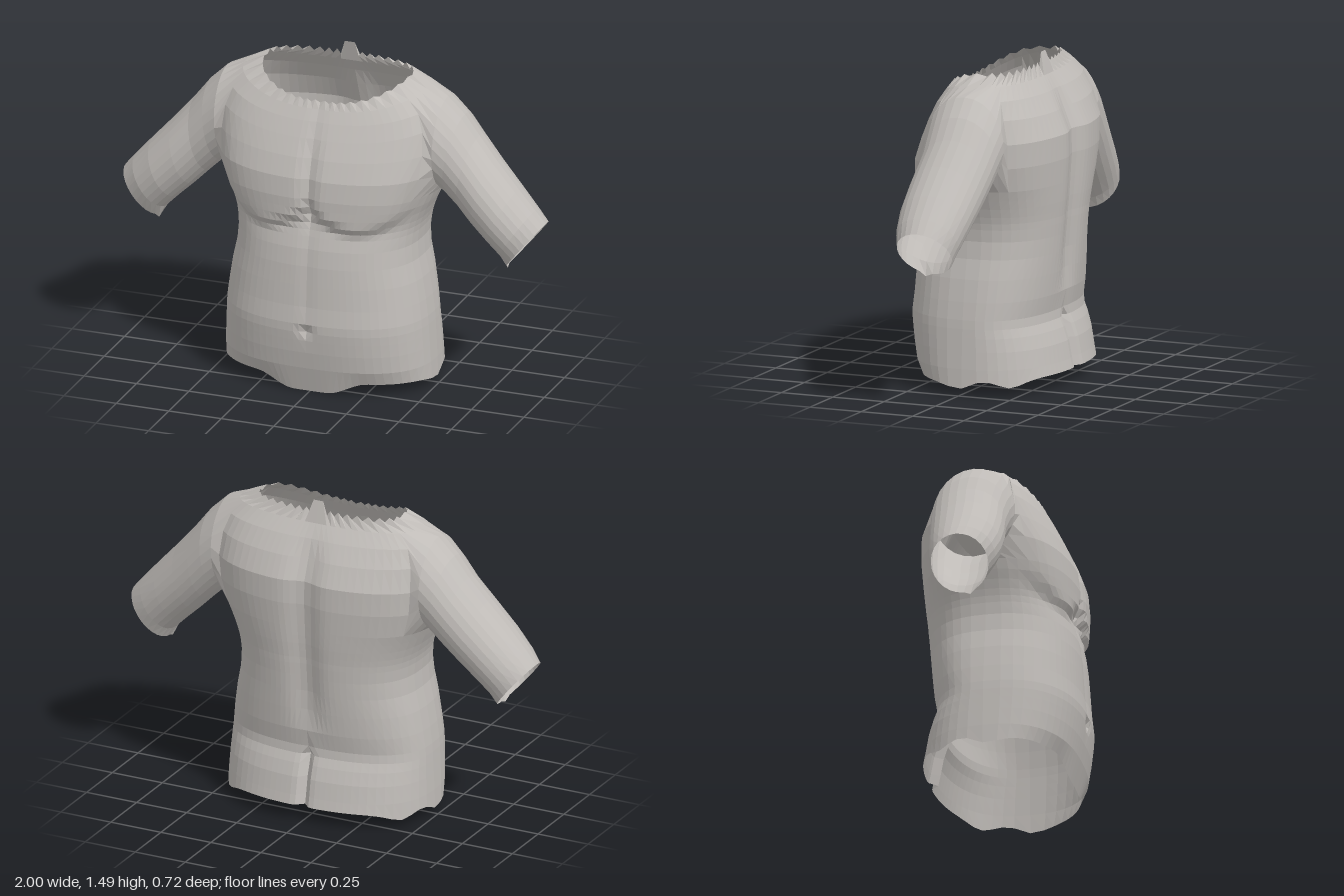
import * as THREE from 'three';

const { smoothstep, lerp, degToRad } = THREE.MathUtils;
const COLS = 36, ARM_A = 14, ARM_B = 22; // columns per half, armhole columns
const bell = (v, width) => Math.exp(-((v / width) ** 2));

// Torso rows from hem to armpit: y, half width, front z, back z
const LOWER = [
  [0.05, 0.49, 0.302, -0.36], [0.12, 0.488, 0.335, -0.35], [0.2, 0.484, 0.35, -0.335],
  [0.26, 0.481, 0.358, -0.315], [0.3, 0.479, 0.363, -0.297], [0.34, 0.476, 0.364, -0.293],
  [0.42, 0.466, 0.355, -0.308], [0.52, 0.45, 0.349, -0.319], [0.61, 0.43, 0.343, -0.328],
  [0.69, 0.424, 0.332, -0.335], [0.745, 0.43, 0.318, -0.34], [0.775, 0.436, 0.31, -0.342],
  [0.805, 0.445, 0.306, -0.345], [0.845, 0.46, 0.305, -0.349], [0.885, 0.478, 0.305, -0.352],
].map(([y, w, zf, zb]) => ({ yf: y, ys: y, yb: y, w, zf, zc: -0.01, zb }));

// Tilted rows from armpit to neckline: front y, side y, back y, half width, front z, centre z, back z
const UPPER = [
  [0.93, 0.93, 0.93, 0.497, 0.306, -0.02, -0.355],
  [1.02, 1.04, 1.04, 0.53, 0.302, -0.03, -0.362],
  [1.11, 1.15, 1.15, 0.54, 0.286, -0.04, -0.36],
  [1.19, 1.26, 1.25, 0.53, 0.26, -0.05, -0.315],
  [1.26, 1.34, 1.33, 0.5, 0.226, -0.06, -0.265],
  [1.31, 1.395, 1.39, 0.44, 0.198, -0.07, -0.218],
  [1.34, 1.43, 1.435, 0.345, 0.18, -0.07, -0.19],
].map(([yf, ys, yb, w, zf, zc, zb]) => ({ yf, ys, yb, w, zf, zc, zb }));

const ROWS = [...LOWER, ...UPPER];
const ARM_BOTTOM = LOWER.length, ARM_TOP = ROWS.length - 2, NECK = ROWS.length - 1;

// Sleeve rings: top x, y; bottom x, y; front z, back z
const SLEEVE = [
  [0.525, 1.362, 0.512, 0.938, 0.145, -0.23], [0.605, 1.285, 0.54, 0.912, 0.135, -0.225],
  [0.675, 1.195, 0.6, 0.855, 0.13, -0.215], [0.765, 1.09, 0.67, 0.785, 0.142, -0.2],
  [0.87, 0.975, 0.745, 0.715, 0.145, -0.182], [0.95, 0.885, 0.8, 0.66, 0.132, -0.165],
  [1.0, 0.825, 0.828, 0.615, 0.11, -0.15],
];

// One point on the left half of the torso
function torsoPoint(r, j) {
  const row = ROWS[r], t = (j / COLS) * Math.PI;
  const a = t - 0.3 * Math.sin(2 * t); // columns crowd towards the centre lines
  const c = Math.cos(a), front = c > 0;
  const x = j % COLS === 0 ? 0 : row.w * Math.sin(a) ** 0.8;
  let y = lerp(row.ys, front ? row.yf : row.yb, c * c);
  let z = row.zc + ((front ? row.zf : row.zb) - row.zc) * Math.abs(c) ** 0.8;
  if (front) {
    // chest, breastbone groove, midline and navel
    const fold = 0.775 + 0.08 * ((x - 0.22) / 0.2) ** 2;
    const chest = smoothstep(y, fold - 0.025, fold + 0.04) * (1 - smoothstep(y, 0.95, 1.22));
    z += 0.036 * chest * smoothstep(c, 0.3, 0.75);
    z -= 0.016 * bell(x, 0.035) * smoothstep(y, 0.75, 0.85) * (1 - smoothstep(y, 1.05, 1.25));
    z -= 0.006 * bell(x, 0.03) * smoothstep(y, 0.3, 0.45);
    z -= 0.02 * bell(x, 0.03) * bell(y - 0.3, 0.025);
  } else {
    // spine groove and lower cleft
    z += 0.032 * bell(x, 0.07) * smoothstep(y, 0.36, 0.6) * (1 - smoothstep(y, 1.2, 1.4));
    z += 0.04 * bell(x, 0.022) * (1 - smoothstep(y, 0.28, 0.36));
  }
  if (r === 0) { // wavy hem, lowest at the front
    y = front ? 0.057 * smoothstep(x, 0.08, 0.26) : 0.075;
    y -= 0.035 * bell(z + 0.22, 0.06) + 0.025 * bell(z, 0.1) * (x > 0.3 ? 1 : 0);
  }
  if (r === NECK) { // ragged neckline with a tab at the nape
    y += front ? (j % 2 ? 0.008 : -0.004) : (j % 2 ? 0.014 : -0.008);
    if (j >= COLS - 1) y = 1.49;
  }
  return [x, y, z];
}

// Loft a grid of points; side -1 mirrors it and turns the faces back outwards
function loft(rings, closed, side, skip = () => false) {
  const n = rings[0].length, index = [];
  const position = rings.flat().flatMap(([x, y, z]) => [x * side, y, z]);
  for (let r = 0; r < rings.length - 1; r++) {
    for (let j = 0; j < (closed ? n : n - 1); j++) {
      if (skip(r, j)) continue;
      const k = (j + 1) % n;
      const [a, b, c, d] = [r * n + j, r * n + k, (r + 1) * n + k, (r + 1) * n + j];
      index.push(...(side > 0 ? [a, b, c, a, c, d] : [a, c, b, a, d, c]));
    }
  }
  const g = new THREE.BufferGeometry();
  g.setAttribute('position', new THREE.Float32BufferAttribute(position, 3));
  g.setIndex(index);
  g.computeVertexNormals();
  return g;
}

// Armhole outline: under the arm, up the back, over the shoulder, down the front
function armhole(grid) {
  const loop = [];
  for (let j = ARM_A; j < ARM_B; j++) loop.push(grid[ARM_BOTTOM][j]);
  for (let r = ARM_BOTTOM; r < ARM_TOP; r++) loop.push(grid[r][ARM_B]);
  for (let j = ARM_B; j > ARM_A; j--) loop.push(grid[ARM_TOP][j]);
  for (let r = ARM_TOP; r > ARM_BOTTOM; r--) loop.push(grid[r][ARM_A]);
  return loop;
}

function sleeveRing([tx, ty, bx, by, zf, zb], count) {
  return Array.from({ length: count }, (_, i) => {
    const p = degToRad(-90 - ((i - (ARM_B - ARM_A) / 2) * 360) / count);
    const u = (Math.sin(p) + 1) / 2;
    return [lerp(bx, tx, u), lerp(by, ty, u), (zf + zb) / 2 + ((zf - zb) / 2) * Math.cos(p)];
  });
}

export function createModel() {
  const skin = new THREE.MeshStandardMaterial({ color: 0xc0bcb8, side: THREE.DoubleSide, flatShading: true });
  skin.name = 'warm grey';
  const model = new THREE.Group();
  model.name = 'torso shell';
  const add = (name, geometry) => {
    const mesh = new THREE.Mesh(geometry, skin);
    mesh.name = name;
    model.add(mesh);
  };

  const grid = ROWS.map((_, r) => Array.from({ length: COLS + 1 }, (_, j) => torsoPoint(r, j)));
  const inArmhole = (r, j) => r >= ARM_BOTTOM && r < ARM_TOP && j >= ARM_A && j < ARM_B;
  const loop = armhole(grid);
  const rings = [loop, ...SLEEVE.map((s) => sleeveRing(s, loop.length))];
  // small dangling point under the cuff
  rings[rings.length - 1][3][1] -= 0.015;

  for (const [side, label] of [[1, 'left'], [-1, 'right']]) {
    add(label + 'Torso', loft(grid, false, side, inArmhole));
    add(label + 'UpperArm', loft(rings, true, side));
  }
  return model;
}
